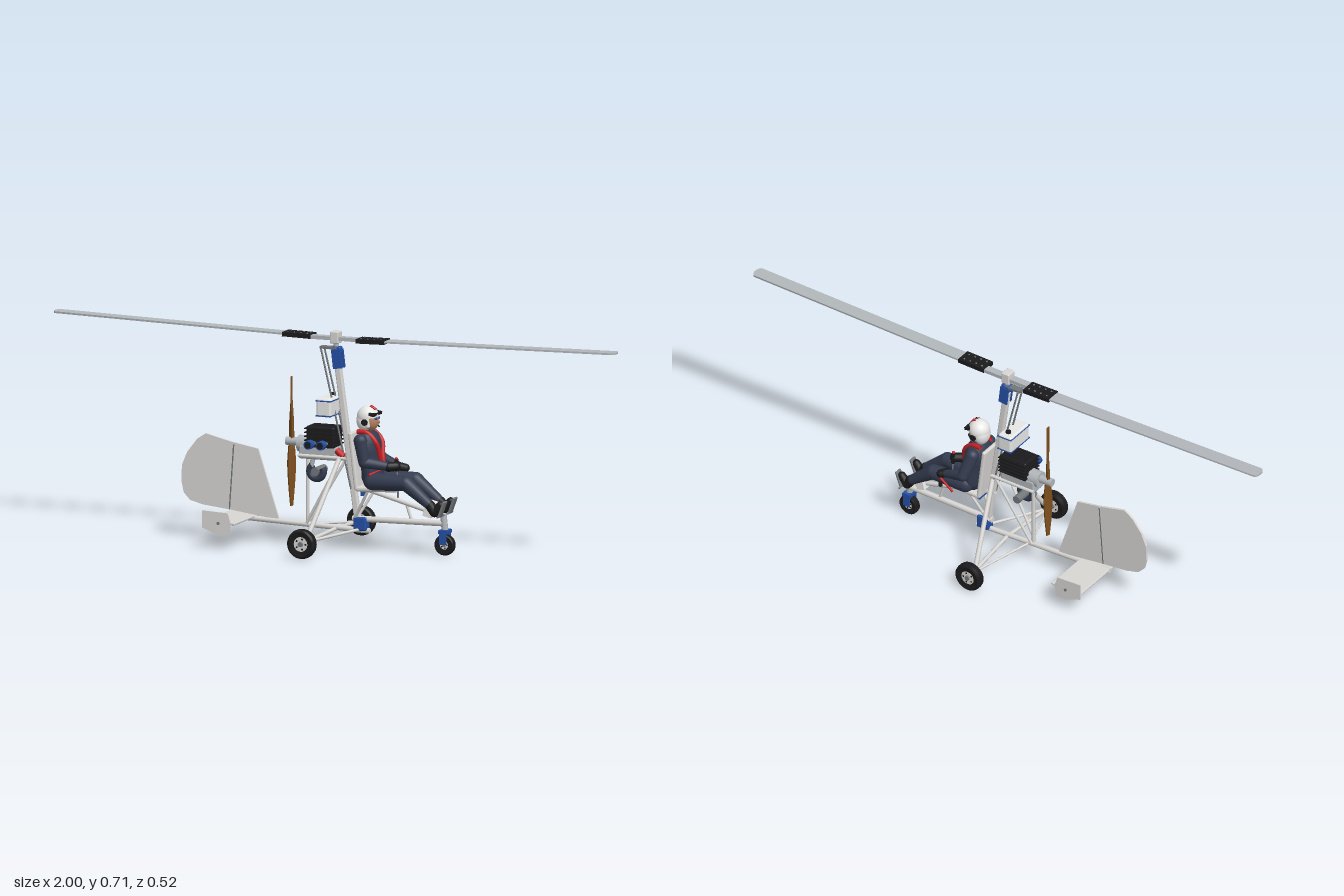
import * as THREE from 'three';
import { mergeGeometries, toCreasedNormals } from 'three/addons/utils/BufferGeometryUtils.js';
import { RoundedBoxGeometry } from 'three/addons/geometries/RoundedBoxGeometry.js';

const mat = (name, color) => {
  const m = new THREE.MeshStandardMaterial({ color, side: THREE.DoubleSide });
  m.name = name;
  return m;
};

export function createModel() {
  const white = mat('white', 0xf2f2f0), panel = mat('pale grey', 0xd8d7d4), metal = mat('aluminium', 0xb2b7bb);
  const dark = mat('mid grey', 0x74787b), black = mat('black', 0x1b1b1d), suit = mat('navy', 0x343c50);
  const blue = mat('blue', 0x2450a6), red = mat('red', 0xc82024), skin = mat('skin', 0xb98662), wood = mat('wood', 0x7e4f1f);
  const root = new THREE.Group();
  const V = (p) => new THREE.Vector3(...p);
  const add = (name, geo, m, pos = [0, 0, 0], rot = [0, 0, 0], parent = root) => {
    const mesh = new THREE.Mesh(geo, m);
    mesh.name = name;
    mesh.position.set(...pos);
    mesh.rotation.set(...rot);
    parent.add(mesh);
    return mesh;
  };
  const box = (name, m, size, pos, rot) => add(name, new THREE.BoxGeometry(...size), m, pos, rot);
  const rbox = (name, m, size, pos, rot, r = 0.008) => add(name, new RoundedBoxGeometry(...size, 3, r), m, pos, rot);
  const rodGeo = (a, b, r0, r1 = r0, seg = 12) => {
    const d = V(b).sub(V(a));
    const g = new THREE.CylinderGeometry(r1, r0, d.length(), seg);
    g.applyQuaternion(new THREE.Quaternion().setFromUnitVectors(new THREE.Vector3(0, 1, 0), d.normalize()));
    const c = V(a).add(V(b)).multiplyScalar(0.5);
    return g.translate(c.x, c.y, c.z);
  };
  const rod = (name, m, a, b, r) => add(name, rodGeo(a, b, r), m);
  // rounded limb through joints [x, y, z, radius]
  const limb = (name, m, pts) => {
    const parts = [];
    pts.forEach((p, i) => {
      parts.push(new THREE.SphereGeometry(p[3], 16, 12).translate(p[0], p[1], p[2]));
      if (i) parts.push(rodGeo(pts[i - 1].slice(0, 3), p.slice(0, 3), pts[i - 1][3], p[3], 16));
    });
    add(name, mergeGeometries(parts), m);
  };
  const ball = (name, m, s, pos) => add(name, new THREE.SphereGeometry(1, 24, 16), m, pos).scale.set(...s);
  const plate = (name, m, pts, t, z) => {
    const s = new THREE.Shape(pts.map((p) => new THREE.Vector2(...p)));
    add(name, new THREE.ExtrudeGeometry(s, { depth: t, bevelEnabled: false }), m, [0, 0, z - t / 2]);
  };

  // Rotor: two coned blades with black grips
  const bladeShape = new THREE.Shape();
  bladeShape.moveTo(0.1, -0.024).lineTo(0.985, -0.024);
  bladeShape.quadraticCurveTo(1, -0.022, 1, 0).quadraticCurveTo(1, 0.024, 0.985, 0.024);
  bladeShape.lineTo(0.1, 0.024);
  [1, -1].forEach((s) => {
    const blade = new THREE.Group();
    blade.name = s > 0 ? 'frontBlade' : 'rearBlade';
    blade.rotation.y = s > 0 ? 0 : Math.PI;
    blade.position.set(0, 0.689, s * 0.011);
    root.add(blade);
    const g = new THREE.ExtrudeGeometry(bladeShape, { depth: 0.006, bevelEnabled: false });
    g.rotateX(Math.PI / 2).rotateZ(0.02);
    add('bladeSkin', toCreasedNormals(g, 0.5), metal, [0, 0.004, 0], [0, 0, 0], blade);
    add('bladeGrip', new THREE.BoxGeometry(0.1, 0.014, 0.054), black, [0.135, 0.003, 0], [0, 0, 0.02], blade);
    for (let i = 0; i < 4; i++) [-0.014, 0.014].forEach((z) =>
      add('gripBolt', new THREE.CylinderGeometry(0.003, 0.003, 0.018, 8), dark, [0.1 + i * 0.023, 0.003, z], [0, 0, 0], blade));
  });
  box('hubBar', metal, [0.2, 0.012, 0.026], [0, 0.69, 0]);
  rbox('teeterTower', panel, [0.03, 0.04, 0.036], [0, 0.694, 0], [0, 0, 0], 0.004);
  rod('rotorShaft', metal, [0, 0.69, 0], [0.003, 0.64, 0], 0.009);
  rbox('rotorHead', blue, [0.034, 0.026, 0.024], [0.004, 0.651, 0], [0, 0, 0.08], 0.006);
  box('headArm', dark, [0.06, 0.008, 0.024], [-0.023, 0.658, 0]);

  // Mast, keel and frame tubes
  rbox('mast', panel, [0.022, 0.56, 0.019], [0.0415, 0.357, 0], [0, 0, 0.138], 0.005);
  rod('keel', panel, [-0.4, 0.08, 0], [0.12, 0.062, 0], 0.009);
  rod('noseBeam', panel, [0.06, 0.1, 0], [0.385, 0.105, 0], 0.01);
  rod('seatBeam', panel, [0.05, 0.215, 0], [0.375, 0.13, 0], 0.008);
  rod('rearPost', panel, [-0.1, 0.07, 0], [-0.1, 0.31, 0], 0.006);
  rod('beamPost', panel, [0.27, 0.1, 0], [0.25, 0.16, 0], 0.005);
  rbox('keelClamp', blue, [0.045, 0.045, 0.034], [0.09, 0.085, 0], [0, 0, 0], 0.005);
  [1, -1].forEach((s) => {
    rod('axleArm', panel, [0, 0.062, 0], [-0.015, 0.05, s * 0.24], 0.0065);
    rod('dragStrut', panel, [0.085, 0.066, s * 0.012], [-0.015, 0.05, s * 0.215], 0.005);
    rod('rearStrut', panel, [-0.085, 0.07, s * 0.012], [-0.015, 0.05, s * 0.215], 0.004);
    rod('wheelStrut', panel, [0.03, 0.3, s * 0.045], [-0.015, 0.05, s * 0.215], 0.008);
    rod('engineStrut', panel, [-0.1, 0.075, s * 0.01], [0.03, 0.3, s * 0.03], 0.005);
    rod('engineRail', panel, [-0.12, 0.3, s * 0.03], [0.045, 0.3, s * 0.03], 0.006);
    rod('seatLeg', panel, [0.07, 0.1, s * 0.01], [0.13, 0.205, s * 0.035], 0.005);
    rod('controlRod', dark, [-0.048, 0.658, s * 0.014], [0.0, 0.46, s * 0.016], 0.003);
    rod('lowerControlRod', dark, [0.0, 0.46, s * 0.016], [0.06, 0.2, s * 0.016], 0.003);
    box('mastCheek', blue, [0.032, 0.062, 0.005], [0.008, 0.623, s * 0.0125], [0, 0, 0.12]);
    box('axleBracket', blue, [0.016, 0.02, 0.006], [-0.015, 0.052, s * 0.213]);
  });

  // Wheels
  const wheel = (name, r, w, rim, pos) => {
    const g = new THREE.Group();
    g.name = name;
    g.position.set(...pos);
    root.add(g);
    const h = w / 2;
    const prof = [[rim, -0.8], [0.85, -1], [0.97, -0.75], [1, -0.3], [1, 0.3], [0.97, 0.75], [0.85, 1], [rim, 0.8], [rim, -0.8]];
    const tyre = new THREE.LatheGeometry(prof.map(([a, b]) => new THREE.Vector2(a * r, b * h)), 32);
    add('tyre', toCreasedNormals(tyre, 0.7), black, [0, 0, 0], [Math.PI / 2, 0, 0], g);
    add('rim', new THREE.CylinderGeometry(r * rim, r * rim, w * 0.7, 24), panel, [0, 0, 0], [Math.PI / 2, 0, 0], g);
    add('hubCap', new THREE.CylinderGeometry(r * 0.17, r * 0.17, w * 1.05, 16), dark, [0, 0, 0], [Math.PI / 2, 0, 0], g);
    for (let i = 0; i < 5; i++) {
      const a = i * Math.PI * 0.4;
      add('rimHole', new THREE.CylinderGeometry(r * 0.07, r * 0.07, w * 0.74, 8), black,
        [Math.cos(a) * r * rim * 0.7, Math.sin(a) * r * rim * 0.7, 0], [Math.PI / 2, 0, 0], g);
    }
  };
  wheel('leftWheel', 0.049, 0.031, 0.5, [-0.015, 0.049, 0.245]);
  wheel('rightWheel', 0.049, 0.031, 0.5, [-0.015, 0.049, -0.245]);
  wheel('noseWheel', 0.035, 0.024, 0.42, [0.386, 0.035, 0]);

  // Nose fork and foot bar
  [1, -1].forEach((s) => box('forkLeg', blue, [0.024, 0.045, 0.006], [0.386, 0.06, s * 0.018]));
  box('forkCrown', blue, [0.03, 0.012, 0.043], [0.386, 0.079, 0]);
  rod('steeringPost', metal, [0.386, 0.08, 0], [0.38, 0.135, 0], 0.011);
  rod('footBar', dark, [0.385, 0.134, -0.063], [0.385, 0.134, 0.063], 0.003);
  box('nosePlate', white, [0.03, 0.05, 0.042], [0.335, 0.15, 0], [0, 0, -0.25]);

  // Tail: fin, rudder and stabiliser with end plates
  plate('fin', panel, [[-0.36, 0.322], [-0.275, 0.307], [-0.2, 0.077], [-0.375, 0.1]], 0.007, 0);
  plate('rudder', panel, [[-0.46, 0.345], [-0.362, 0.322], [-0.377, 0.1], [-0.47, 0.11], [-0.515, 0.122], [-0.537, 0.145], [-0.545, 0.18], [-0.544, 0.235], [-0.525, 0.28], [-0.49, 0.325]], 0.008, 0);
  rod('rudderHinge', dark, [-0.361, 0.315, 0], [-0.376, 0.1, 0], 0.0045);
  rbox('stabiliser', panel, [0.115, 0.008, 0.34], [-0.343, 0.083, 0], [0, 0, 0], 0.003);
  [1, -1].forEach((s) => {
    plate('endPlate', panel, [[-0.4, 0.122], [-0.31, 0.118], [-0.3, 0.085], [-0.305, 0.045], [-0.34, 0.042], [-0.4, 0.065]], 0.004, s * 0.17);
    rod('plateBolt', dark, [-0.343, 0.083, s * 0.166], [-0.343, 0.083, s * 0.176], 0.005);
  });

  // Engine
  rbox('crankcase', metal, [0.13, 0.045, 0.06], [-0.055, 0.312, 0], [0, 0, 0], 0.006);
  rbox('cylinderBlock', black, [0.1, 0.07, 0.07], [-0.042, 0.365, 0], [0, 0, 0], 0.006);
  for (let i = 0; i < 5; i++) box('coolingFin', black, [0.106, 0.004, 0.082], [-0.042, 0.34 + i * 0.013, 0]);
  [-0.065, -0.022].forEach((x) => {
    rod('intake', dark, [x, 0.345, 0.03], [x, 0.345, 0.062], 0.009);
    rod('airFilter', blue, [x, 0.345, 0.058], [x, 0.345, 0.082], 0.015);
    rod('filterCap', black, [x, 0.345, 0.08], [x, 0.345, 0.084], 0.011);
  });
  rod('starterCap', red, [0.012, 0.325, 0.022], [0.036, 0.305, 0.022], 0.011);
  add('exhaust', new THREE.TorusGeometry(0.024, 0.012, 12, 24, 4.6), suit, [-0.06, 0.25, 0.02], [0, 0, 2.2]);
  rod('muffler', dark, [-0.06, 0.25, -0.04], [-0.06, 0.25, 0.035], 0.014);
  rod('exhaustPipe', metal, [-0.07, 0.3, 0.02], [-0.08, 0.262, 0.02], 0.008);
  rod('gearbox', metal, [-0.13, 0.335, 0], [-0.09, 0.335, 0], 0.028);
  rod('propShaft', metal, [-0.175, 0.34, 0], [-0.12, 0.34, 0], 0.014);

  // Twisted wooden propeller
  const prop = new THREE.BoxGeometry(0.01, 0.428, 0.026, 2, 32, 2);
  const pp = prop.attributes.position;
  for (let i = 0; i < pp.count; i++) {
    const y = pp.getY(i), t = Math.abs(y) / 0.214;
    const a = Math.sign(y) * (0.9 - 0.7 * t), taper = (1 - 0.6 * t ** 3) * (0.65 + 0.5 * Math.min(1, t * 3));
    const x = pp.getX(i) * (1 - 0.6 * t), z = pp.getZ(i) * taper;
    pp.setXYZ(i, x * Math.cos(a) + z * Math.sin(a), y, z * Math.cos(a) - x * Math.sin(a));
  }
  prop.computeVertexNormals();
  add('propeller', prop, wood, [-0.157, 0.34, 0]);

  // Fuel tank
  rbox('fuelTank', white, [0.052, 0.062, 0.108], [-0.022, 0.466, 0]);
  [0.4395, 0.4885].forEach((y) => rbox('tankBand', blue, [0.055, 0.004, 0.112], [-0.022, y, 0], [0, 0, 0], 0.0015));
  rod('fuelCap', black, [-0.022, 0.49, -0.03], [-0.022, 0.504, -0.03], 0.009);

  // Seat
  rbox('seatPan', panel, [0.15, 0.018, 0.09], [0.16, 0.208, 0], [0, 0, 0.05]);
  rbox('seatBack', panel, [0.014, 0.19, 0.09], [0.078, 0.295, 0], [0, 0, 0.12], 0.006);
  box('seatBase', blue, [0.008, 0.022, 0.044], [0.1, 0.19, 0]);

  // Pilot body
  const torsoProfile = [[0, 0], [0.042, 0.004], [0.05, 0.03], [0.046, 0.07], [0.051, 0.11], [0.056, 0.14], [0.047, 0.168], [0.024, 0.184], [0, 0.188]];
  const torso = new THREE.LatheGeometry(torsoProfile.map((p) => new THREE.Vector2(...p)), 28);
  torso.scale(0.72, 1, 1);
  add('torso', torso, suit, [0.137, 0.213, 0], [0, 0, 0.15]);
  [1, -1].forEach((s) => {
    limb('leg', suit, [[0.145, 0.232, s * 0.032, 0.03], [0.265, 0.235, s * 0.041, 0.025], [0.352, 0.168, s * 0.042, 0.016]]);
    limb('boot', black, [[0.352, 0.168, s * 0.042, 0.017], [0.367, 0.147, s * 0.042, 0.016], [0.388, 0.172, s * 0.042, 0.013]]);
    rbox('bootSole', dark, [0.008, 0.054, 0.028], [0.395, 0.16, s * 0.042], [0, 0, -0.35], 0.003);
    // harness straps
    const strap = new THREE.CatmullRomCurve3([[0.088, 0.393, s * 0.03], [0.122, 0.39, s * 0.028], [0.152, 0.36, s * 0.025], [0.16, 0.32, s * 0.013], [0.166, 0.28, s * 0.004]].map(V));
    add('shoulderStrap', new THREE.TubeGeometry(strap, 20, 0.008, 8), red);
    rod('lapBelt', red, [0.168, 0.272, 0], [0.14, 0.256, s * 0.056], 0.004);
  });
  limb('leftArm', suit, [[0.108, 0.366, 0.048, 0.023], [0.12, 0.295, 0.047, 0.019], [0.195, 0.283, 0.022, 0.014]]);
  limb('rightArm', suit, [[0.108, 0.366, -0.048, 0.023], [0.125, 0.295, -0.077, 0.019], [0.195, 0.27, -0.066, 0.014]]);
  limb('leftGlove', black, [[0.196, 0.282, 0.022, 0.016], [0.216, 0.283, 0.008, 0.015]]);
  limb('rightGlove', black, [[0.196, 0.27, -0.06, 0.016], [0.215, 0.265, -0.072, 0.014]]);

  // Controls
  rod('controlStick', dark, [0.22, 0.175, 0], [0.216, 0.27, 0], 0.003);
  rod('stickGrip', black, [0.216, 0.265, 0], [0.214, 0.305, 0], 0.006);
  ball('stickButton', red, [0.005, 0.005, 0.005], [0.214, 0.307, 0]);
  rod('throttleLever', red, [0.17, 0.21, -0.07], [0.212, 0.255, -0.08], 0.004);
  rod('throttleKnob', black, [0.212, 0.222, -0.078], [0.212, 0.236, -0.078], 0.007);

  // Head and helmet
  rod('neck', skin, [0.112, 0.385, 0], [0.114, 0.42, 0], 0.016);
  ball('face', skin, [0.028, 0.034, 0.024], [0.122, 0.427, 0]);
  ball('nose', skin, [0.006, 0.007, 0.004], [0.15, 0.425, 0]);
  const shell = new THREE.SphereGeometry(0.036, 28, 16, 0, Math.PI * 2, 0, 1.7);
  add('helmet', shell, white, [0.113, 0.44, 0], [0, 0, 0.12]);
  ball('helmetBack', white, [0.025, 0.037, 0.033], [0.101, 0.427, 0]);
  box('visorBand', black, [0.018, 0.009, 0.07], [0.139, 0.451, 0], [0, 0, -0.2]);
  [1, -1].forEach((s) => {
    limb('helmetCheek', white, [[0.118, 0.436, s * 0.026, 0.009], [0.122, 0.412, s * 0.024, 0.008]]);
    rod('earCup', black, [0.115, 0.425, s * 0.026], [0.115, 0.425, s * 0.037], 0.011);
    ball('sunglassLens', blue, [0.004, 0.005, 0.008], [0.146, 0.436, s * 0.01]);
    box('helmetStripe', red, [0.022, 0.003, 0.005], [0.132, 0.47, s * 0.006], [0, 0, -0.55]);
  });
  rod('microphoneBoom', black, [0.12, 0.415, -0.035], [0.151, 0.408, -0.006], 0.0025);
  return root;
}
